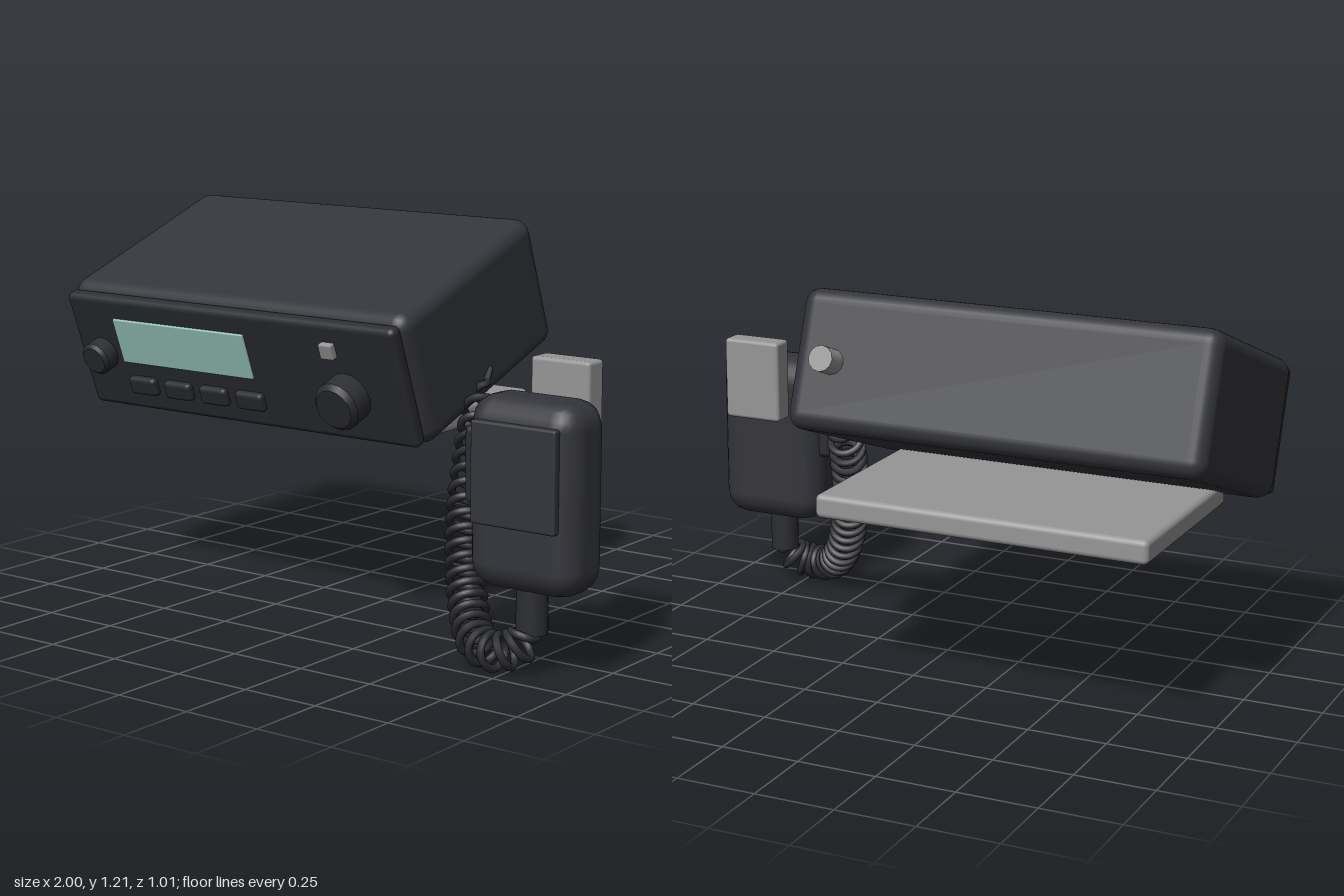
import * as THREE from 'three';
import { RoundedBoxGeometry } from 'three/addons/geometries/RoundedBoxGeometry.js';
import { toCreasedNormals } from 'three/addons/utils/BufferGeometryUtils.js';

const material = (name, color) => {
  const m = new THREE.MeshStandardMaterial({ color });
  m.name = name;
  return m;
};

export function createModel() {
  const casing = material('charcoal casing', 0x34353b);
  const trim = material('dark trim', 0x2c2d32);
  const metal = material('grey metal', 0x969696);
  const glass = material('display green', 0x9ccbc0);

  const model = new THREE.Group();
  model.name = 'mobileRadio';

  const add = (parent, name, geometry, mat, x = 0, y = 0, z = 0) => {
    const mesh = new THREE.Mesh(geometry, mat);
    mesh.name = name;
    mesh.position.set(x, y, z);
    parent.add(mesh);
    return mesh;
  };
  const box = (parent, name, mat, [w, h, d], radius, [x, y, z], segments = 3) =>
    add(parent, name, new RoundedBoxGeometry(w, h, d, segments, radius), mat, x, y, z);

  // Knob with a bevelled rim, pointing along +z from its base
  const knob = (parent, name, mat, r, h, sides, x, y, z) => {
    const b = r * 0.2;
    const profile = [[r, 0], [r, h - b], [r - b, h], [0, h]].map(p => new THREE.Vector2(...p));
    const geometry = toCreasedNormals(new THREE.LatheGeometry(profile, sides), 0.6);
    geometry.rotateX(Math.PI / 2);
    return add(parent, name, geometry, mat, x, y, z);
  };

  // Radio unit, tilted nose down
  const radio = new THREE.Group();
  radio.name = 'radioUnit';
  radio.rotation.x = THREE.MathUtils.degToRad(20);
  model.add(radio);
  box(radio, 'radioBody', casing, [1.34, 0.435, 0.73], 0.05, [-0.33, 0.841, -0.345]);
  box(radio, 'facePanel', trim, [1.31, 0.4, 0.05], 0.02, [-0.33, 0.841, 0.033]);
  box(radio, 'display', glass, [0.54, 0.155, 0.02], 0.004, [-0.53, 0.893, 0.056], 1);
  box(radio, 'powerButton', metal, [0.05, 0.05, 0.03], 0.005, [0.07, 0.954, 0.063], 1);
  for (let i = 0; i < 4; i++) {
    box(radio, 'keyButton', trim, [0.11, 0.062, 0.035], 0.014, [-0.735 + i * 0.148, 0.737, 0.063], 2);
  }
  knob(radio, 'channelKnob', trim, 0.055, 0.065, 16, -0.88, 0.838, 0.05);
  knob(radio, 'volumeKnob', trim, 0.08, 0.09, 16, 0.105, 0.798, 0.05);

  // Antenna socket on the back
  const socket = add(radio, 'antennaSocket', new THREE.CylinderGeometry(0.04, 0.04, 0.09, 12),
    metal, 0.205, 0.835, -0.74);
  socket.rotation.x = Math.PI / 2;

  // Flat mounting plate under the radio
  box(model, 'mountingPlate', metal, [1.07, 0.075, 0.67], 0.018, [-0.33, 0.6075, -0.17]);

  // Hand microphone
  const mic = new THREE.Group();
  mic.name = 'handMicrophone';
  model.add(mic);
  box(mic, 'micBody', casing, [0.37, 0.565, 0.212], 0.08, [0.815, 0.54, 0.382], 2);
  box(mic, 'micFrontPlate', casing, [0.285, 0.3, 0.03], 0.008, [0.812, 0.605, 0.49], 2);
  box(mic, 'talkButton', trim, [0.06, 0.23, 0.11], 0.018, [0.63, 0.605, 0.382], 2);
  box(mic, 'hangerClip', metal, [0.2, 0.27, 0.08], 0.012, [0.81, 0.773, 0.22], 2);
  add(mic, 'strainRelief', new THREE.CylinderGeometry(0.047, 0.047, 0.14, 14), trim, 0.81, 0.2, 0.388);

  // Coiled cord: a helix wound around a sagging path
  const path = new THREE.CatmullRomCurve3([
    [0.335, 0.785, -0.085], [0.36, 0.7, -0.01], [0.4, 0.58, 0.09], [0.45, 0.42, 0.2],
    [0.5, 0.29, 0.28], [0.57, 0.16, 0.36], [0.65, 0.085, 0.43], [0.73, 0.072, 0.445],
    [0.79, 0.1, 0.415], [0.81, 0.16, 0.388],
  ].map(p => new THREE.Vector3(...p)));
  const turns = 24;
  const steps = turns * 14;
  const frames = path.computeFrenetFrames(steps);
  const coil = [];
  for (let i = 0; i <= steps; i++) {
    const t = i / steps;
    const reach = 0.05 * Math.min(1, Math.max(0, t - 0.04) / 0.07, (1 - t) / 0.05);
    const angle = Math.PI * 2 * turns * Math.pow(t, 1.25);
    coil.push(path.getPointAt(t)
      .addScaledVector(frames.normals[i], reach * Math.cos(angle))
      .addScaledVector(frames.binormals[i], reach * Math.sin(angle)));
  }
  add(model, 'coiledCord',
    new THREE.TubeGeometry(new THREE.CatmullRomCurve3(coil), steps * 2, 0.0125, 7), trim);

  return model;
}
